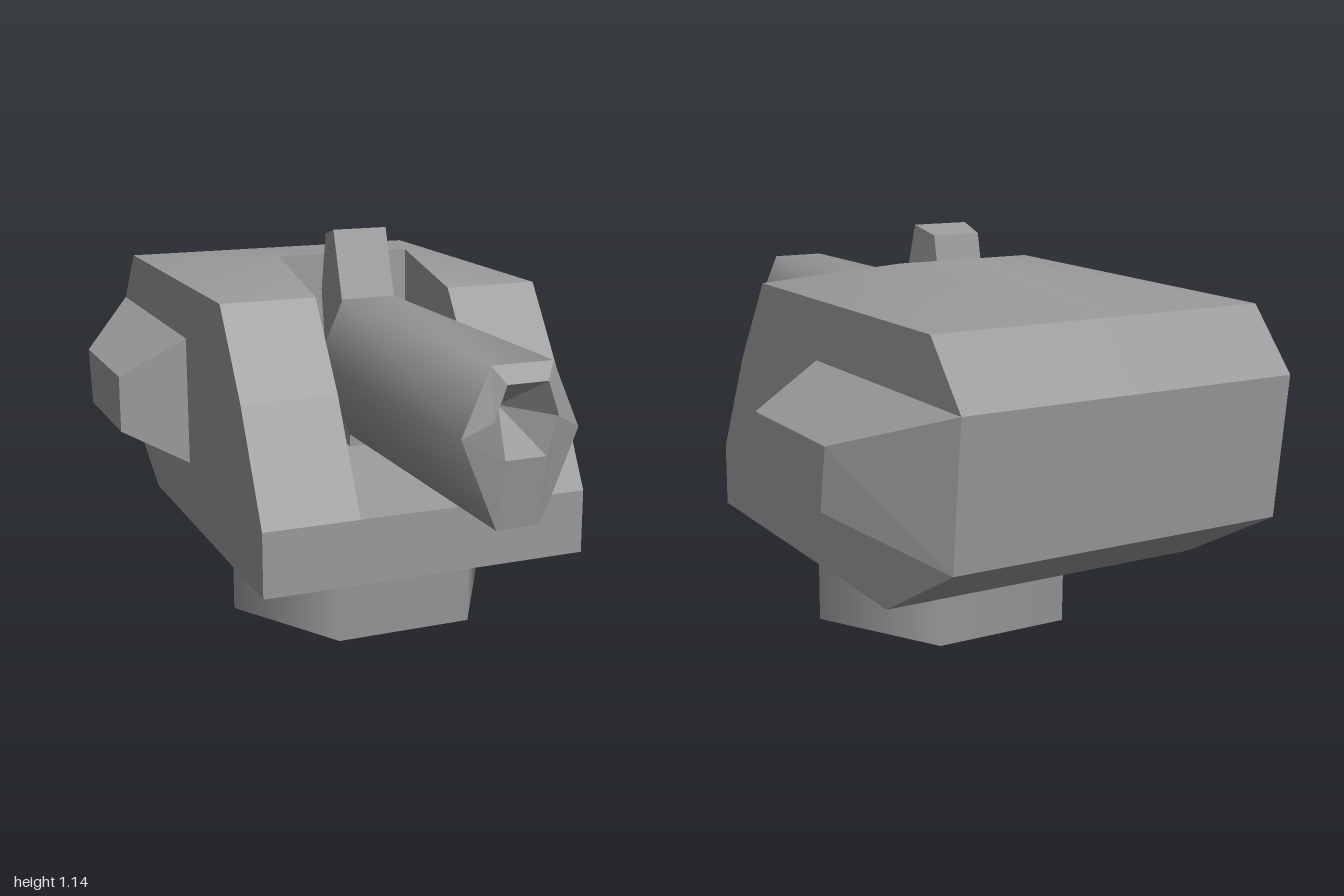
import * as THREE from 'three';
import { toCreasedNormals } from 'three/addons/utils/BufferGeometryUtils.js';

const grey = () => new THREE.MeshStandardMaterial({ color: 0x999999 });

// Convex polygons (counter-clockwise from outside) become one mesh
function polyMesh(name, polys, crease = 0.01) {
  const pos = [];
  for (const p of polys)
    for (let i = 1; i < p.length - 1; i++) pos.push(...p[0], ...p[i], ...p[i + 1]);
  const geo = new THREE.BufferGeometry();
  geo.setAttribute('position', new THREE.Float32BufferAttribute(pos, 3));
  const mesh = new THREE.Mesh(toCreasedNormals(geo, crease), grey());
  mesh.name = name;
  return mesh;
}

const mirror = polys => polys.map(p => p.map(([x, y, z]) => [-x, y, z]).reverse());

// Walls between successive rings
function loft(rings) {
  const polys = [];
  for (let r = 0; r < rings.length - 1; r++) {
    const a = rings[r], b = rings[r + 1], n = a.length;
    for (let i = 0; i < n; i++) {
      const j = (i + 1) % n;
      polys.push([a[i], a[j], b[j], b[i]]);
    }
  }
  return polys;
}

function hull() {
  const W = 0.487, S = 0.206; // half widths of hull and gun slot
  // Side outline as [z, y]
  const side = [[0.465, 0.232], [0.465, 0.42], [0.30, 0.73], [0.13, 0.975],
    [-0.857, 0.975], [-1, 0.81], [-0.965, 0.422], [-0.63, 0.232]];
  const at = (x, [z, y]) => [x, y, z];
  const strip = (a, b, outer, inner) => [at(outer, a), at(outer, b), at(inner, b), at(inner, a)];
  const floorBack = [-0.16, 0.52], peak = [-0.18, 1.048];

  const half = [side.map(p => at(W, p)).reverse()];
  // Front plate, cheeks, rear and underside; edge 3 is the roof
  side.forEach((p, i) => {
    if (i !== 3) half.push(strip(p, side[(i + 1) % side.length], W, i === 1 || i === 2 ? S : 0));
  });
  // Gun slot: floor, back wall, side wall
  half.push(strip(side[1], floorBack, S, 0), strip(floorBack, peak, S, 0));
  half.push([floorBack, side[1], side[2], side[3], peak].map(p => at(S, p)));

  // Raised roof, softly shaded across its shallow folds
  const roof = [
    [at(S, side[3]), at(W, side[3]), at(S, peak)],
    [at(W, side[3]), at(W, side[4]), at(S, peak)],
    [at(S, peak), at(W, side[4]), at(0, side[4]), at(0, peak)],
  ];
  return [
    polyMesh('hull', [...half, ...mirror(half)]),
    polyMesh('roof', [...roof, ...mirror(roof)], 0.5),
  ];
}

function sidePods() {
  const ring = (x, pts) => pts.map(([z, y]) => [x, y, z]);
  const base = ring(0.487, [[-0.23, 0.422], [-0.965, 0.422], [-1, 0.81], [-0.23, 0.81]]);
  const outer = ring(0.685, [[-0.275, 0.53], [-0.67, 0.53], [-0.70, 0.70], [-0.275, 0.70]]);
  const polys = [...loft([base, outer]), outer];
  return [polyMesh('leftSidePod', polys), polyMesh('rightSidePod', mirror(polys))];
}

function gun() {
  const group = new THREE.Group();
  group.name = 'gun';
  const hex = (z, [tx, ty], [mx, my], [bx, by]) =>
    [[tx, ty, z], [-tx, ty, z], [-mx, my, z], [-bx, by, z], [bx, by, z], [mx, my, z]];
  const section = [[0.083, 0.942], [0.158, 0.77], [0.06, 0.532]];
  const back = hex(0.025, ...section), front = hex(0.97, ...section);
  const lip = hex(1, [0.055, 0.90], [0.086, 0.812], [0.055, 0.715]);
  const bore = lip.map((p, i) => [p, lip[(i + 1) % 6], [0, 0.812, 0.85]]);

  group.add(polyMesh('barrel', loft([back, front]), 1.25));
  group.add(polyMesh('barrelBack', [[...back].reverse()]));
  group.add(polyMesh('muzzle', [...loft([front, lip]), ...bore]));

  // Upright mount behind the barrel, ending in a sight above the roof
  const level = (wf, yf, zf, wb, yb, zb) => [[wf, yf, zf], [wb, yb, zb], [-wb, yb, zb], [-wf, yf, zf]];
  const rings = [
    level(0.06, 0.495, 0.025, 0.055, 0.495, -0.17),
    level(0.06, 0.532, 0.025, 0.055, 0.532, -0.17),
    level(0.083, 0.942, 0.02, 0.072, 0.942, -0.175),
    level(0.083, 1.138, -0.045, 0.072, 1.115, -0.138),
  ];
  group.add(polyMesh('gunMount', [[...rings[0]].reverse(), ...loft(rings), rings[3]]));
  return group;
}

export function createModel() {
  const model = new THREE.Group();
  model.name = 'gunTurret';
  model.add(...hull(), ...sidePods(), gun());

  // Open six-sided turning ring underneath
  const geo = new THREE.CylinderGeometry(0.41, 0.41, 0.234, 6, 1, true);
  geo.rotateY(Math.PI / 6);
  const ring = new THREE.Mesh(geo, grey());
  ring.material.side = THREE.DoubleSide;
  ring.position.set(0, 0.117, -0.055);
  ring.name = 'turretRing';
  model.add(ring);
  return model;
}
